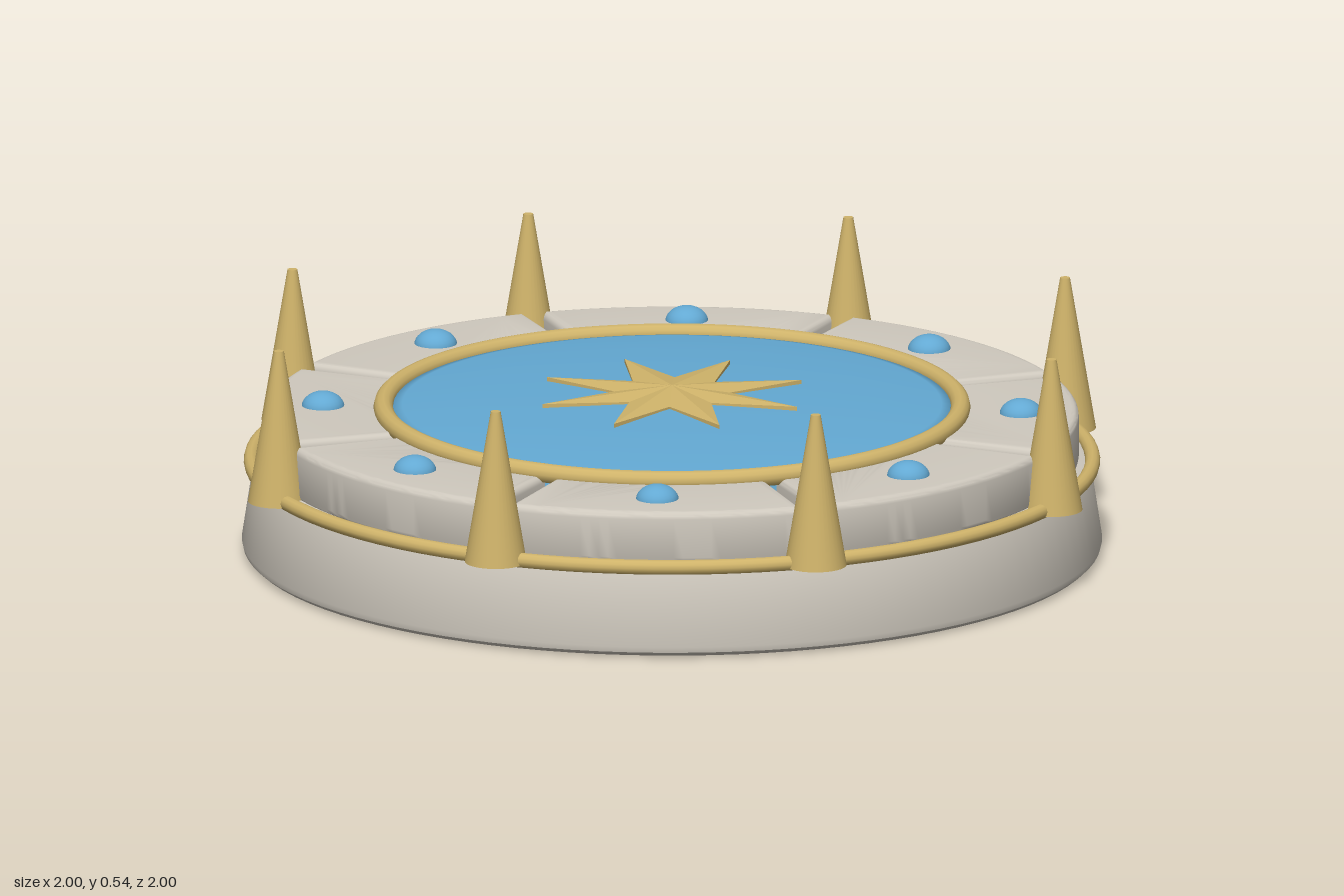
import * as THREE from 'three';
import { toCreasedNormals } from 'three/addons/utils/BufferGeometryUtils.js';

const material = (name, color) => {
  const m = new THREE.MeshStandardMaterial({ color });
  m.name = name;
  return m;
};

export function createModel() {
  const stone = material('pale stone', 0xcfc9be);
  const gold = material('gold', 0xcfb36a);
  const blue = material('blue glaze', 0x63a9d3);
  const model = new THREE.Group();
  model.name = 'roundDais';

  const add = (name, geometry, mat, x = 0, y = 0, z = 0) => {
    const mesh = new THREE.Mesh(geometry, mat);
    mesh.name = name;
    mesh.position.set(x, y, z);
    model.add(mesh);
    return mesh;
  };
  const lathe = (points, segments) =>
    new THREE.LatheGeometry(points.map(([r, y]) => new THREE.Vector2(r, y)), segments);
  const ring = (radius, tube) =>
    new THREE.TorusGeometry(radius, tube, 12, 96).rotateX(Math.PI / 2);

  // Tapered drum with rounded lower edge
  add('base', toCreasedNormals(lathe([
    [0, 0], [0.925, 0], [0.944, 0.004], [0.954, 0.013], [0.957, 0.026],
    [0.932, 0.19], [0.926, 0.202], [0.912, 0.208], [0, 0.208],
  ], 96), 0.6), stone);

  // Eight rounded paving blocks, with narrow gaps between them
  const gap = 0.022, inner = 0.6, outer = 0.905, bevel = 0.016;
  const outline = new THREE.Shape();
  outline.absarc(0, 0, outer, gap, Math.PI / 4 - gap, false);
  outline.absarc(0, 0, inner, Math.PI / 4 - gap, gap, true);
  outline.closePath();
  const block = toCreasedNormals(new THREE.ExtrudeGeometry(outline, {
    depth: 0.12 - 2 * bevel, curveSegments: 16,
    bevelSize: bevel, bevelThickness: bevel, bevelOffset: -bevel, bevelSegments: 4,
  }).rotateX(-Math.PI / 2), 0.6);

  const stud = new THREE.SphereGeometry(0.048, 24, 8, 0, Math.PI * 2, 0, Math.PI / 2).scale(1, 0.75, 1);
  const spike = new THREE.CylinderGeometry(0.011, 0.069, 0.345, 32);
  for (let i = 0; i < 8; i++) {
    const a = (i * Math.PI) / 4, mid = a + Math.PI / 8;
    add('pavingBlock', block, stone, 0, 0.202 + bevel, 0).rotation.y = a;
    add('stud', stud, blue, Math.cos(mid) * 0.777, 0.318, Math.sin(mid) * 0.777);
    add('spike', spike, gold, Math.cos(a) * 0.931, 0.3675, Math.sin(a) * 0.931);
  }

  // Gold rail around the drum and gold trim around the central disc
  add('outerRail', ring(0.936, 0.017), gold, 0, 0.205, 0);
  add('discTrim', ring(0.642, 0.022), gold, 0, 0.327, 0);

  // Gently domed central disc
  add('centralDisc', lathe([
    [0.64, 0.2], [0.64, 0.325], [0.6, 0.333], [0.45, 0.345],
    [0.3, 0.352], [0.15, 0.356], [0, 0.357],
  ], 96), blue);

  // Eight-pointed star: every second rim corner is pulled inwards
  const star = lathe([[0, 0.35], [0.307, 0.35], [0.307, 0.361], [0, 0.377]], 16);
  const p = star.attributes.position;
  for (let i = 0; i < p.count; i++) {
    const corner = Math.round(Math.atan2(p.getX(i), p.getZ(i)) / (Math.PI / 8));
    if (corner % 2) p.setXYZ(i, p.getX(i) * 0.42, p.getY(i), p.getZ(i) * 0.42);
  }
  const starFaces = star.toNonIndexed();
  starFaces.computeVertexNormals();
  add('star', starFaces, gold);

  return model;
}
